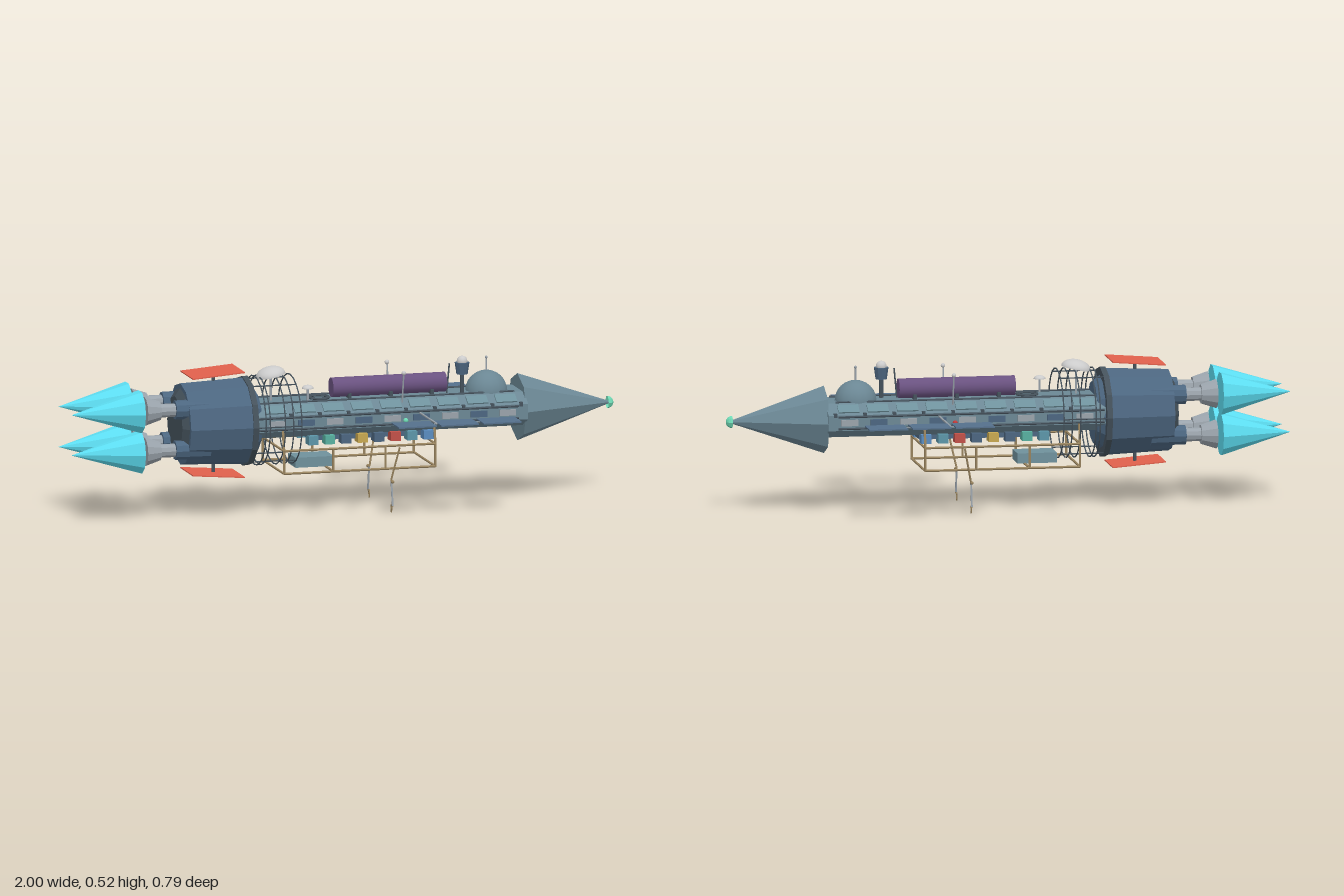
import * as THREE from 'three';

const CY = 0.328; // height of the ship's long axis
const C = {
  hull: 0x6b8794, dark: 0x4c6680, trim: 0x45525c, plume: 0x5cdcf0, red: 0xe0604c, purple: 0x6a5280,
  solar: 0x55708c, gold: 0x9a8560, white: 0xe6e6e6, grey: 0x9aa3ab, green: 0x6fd8b4, box: 0x6f919c,
};
const mats = {};
function mat(color, flat = true) {
  const key = color + '_' + flat;
  return mats[key] ??= new THREE.MeshStandardMaterial({ color, flatShading: flat, side: THREE.DoubleSide });
}

export function createModel() {
  const root = new THREE.Group();

  function add(name, geo, color, x = 0, y = 0, z = 0, flat = true) {
    const m = new THREE.Mesh(geo, mat(color, flat));
    m.name = name;
    m.position.set(x, y, z);
    root.add(m);
    return m;
  }
  const box = (name, color, x, y, z, w, h, d) => add(name, new THREE.BoxGeometry(w, h, d), color, x, y, z);
  // Cylinder lying on x, from x0 (radius r0) to x1 (radius r1)
  function barrel(name, color, x0, x1, r0, r1, y, z, sides = 12) {
    const g = new THREE.CylinderGeometry(r1, r0, x1 - x0, sides).rotateZ(-Math.PI / 2);
    return add(name, g, color, (x0 + x1) / 2, y, z, sides < 16);
  }
  // Thin round bar between two points
  function rod(name, color, a, b, r = 0.003) {
    const p = new THREE.Vector3(...a), q = new THREE.Vector3(...b);
    const m = add(name, new THREE.CylinderGeometry(r, r, p.distanceTo(q), 6), color);
    m.position.copy(p).add(q).multiplyScalar(0.5);
    m.quaternion.setFromUnitVectors(new THREE.Vector3(0, 1, 0), q.sub(p).normalize());
    return m;
  }
  const ball = (name, color, x, y, z, r) => add(name, new THREE.SphereGeometry(r, 16, 12), color, x, y, z, false);

  // Hull: chamfered flat section swept along x
  const s = new THREE.Shape([[-0.07, 0.275], [0.07, 0.275], [0.125, 0.305], [0.125, 0.36], [0.07, 0.395], [-0.07, 0.395],
    [-0.125, 0.36], [-0.125, 0.305]].map(p => new THREE.Vector2(...p)));
  add('hull', new THREE.ExtrudeGeometry(s, { depth: 1, bevelEnabled: false }).rotateY(Math.PI / 2), C.hull, -0.345);

  // Nose cone and tip
  barrel('noseCone', C.hull, 0.65, 0.985, 0.12, 0.004, CY, 0, 8);
  add('noseTip', new THREE.SphereGeometry(0.022, 8, 5, 0, Math.PI * 2, 0, Math.PI / 2).rotateZ(-Math.PI / 2), C.green, 0.978, CY);

  // Side trim, ribs and greebles
  for (const z of [-1, 1]) {
    for (const y of [0.312, 0.354]) rod('sideRail', C.trim, [-0.33, y, z * 0.127], [0.62, y, z * 0.127], 0.004);
    rod('roofRail', C.trim, [-0.33, 0.397, z * 0.065], [0.62, 0.397, z * 0.065], 0.004);
    for (let i = 0; i < 9; i++) {
      const x = -0.26 + i * 0.105;
      box('sidePanel', i % 2 ? C.dark : C.grey, x, 0.333, z * 0.126, 0.06, 0.022, 0.008);
      box('sideStud', C.trim, x + 0.05, 0.36, z * 0.12, 0.012, 0.014, 0.016);
      const slat = box('slopePanel', C.box, x, 0.379, z * 0.099, 0.075, 0.006, 0.04);
      slat.rotation.x = z * 0.567;
    }
    ball('runningLight', z > 0 ? C.green : 0xc03a3a, 0.205, 0.325, z * 0.137, 0.009);
    rod('whipAntenna', C.grey, [0.205, 0.375, z * 0.088], [0.205, 0.49, z * 0.11]);
    ball('whipAntennaTip', C.white, 0.205, 0.49, z * 0.111, 0.008);
  }

  // Engine block with collars
  barrel('engineBlock', C.dark, -0.58, -0.35, 0.145, 0.155, CY, 0, 12);
  barrel('frontCollar', C.trim, -0.355, -0.335, 0.16, 0.16, CY, 0, 12);
  barrel('frontCap', C.dark, -0.335, -0.31, 0.13, 0.11, CY, 0, 12);
  barrel('rearCap', C.trim, -0.6, -0.575, 0.1, 0.135, CY, 0, 12);

  // Four engines
  for (const dy of [-0.072, 0.072]) for (const z of [-0.086, 0.086]) {
    const y = 0.323 + dy;
    barrel('enginePod', C.dark, -0.625, -0.5, 0.034, 0.036, y, z, 10);
    barrel('thrustPipe', C.grey, -0.69, -0.62, 0.024, 0.024, y, z, 10);
    barrel('nozzle', C.grey, -0.735, -0.68, 0.052, 0.034, y, z, 12);
    barrel('plume', C.plume, -1, -0.75, 0.0005, 0.077, y, z, 10);
  }

  // Radiator panels above and below the engine block
  for (const k of [-1, 1]) {
    const panel = box('radiator', C.red, -0.462, CY + k * 0.18, 0, 0.19, 0.004, 0.168);
    panel.rotation.z = k * 0.08;
    rod('radiatorStrut', C.trim, [-0.46, CY + k * 0.14, 0], [-0.46, CY + k * 0.18, 0], 0.006);
  }

  // Rings around the hull
  for (const x of [-0.31, -0.295, -0.24, -0.21, -0.18])
    add('hullRing', new THREE.TorusGeometry(0.158, 0.0025, 5, 24).rotateY(Math.PI / 2), C.trim, x, CY);
  for (let i = 0; i < 6; i++) {
    const a = (i + 0.5) * Math.PI / 3, y = CY + 0.156 * Math.cos(a), z = 0.156 * Math.sin(a);
    rod('ringTie', C.trim, [-0.34, y, z], [-0.18, y, z], 0.0025);
  }

  // Dishes
  function dish(x, y, z, r, tilt) {
    const g = new THREE.SphereGeometry(r, 20, 8, 0, Math.PI * 2, 0, Math.PI / 2).scale(1, 0.6, 1);
    add('dish', g, C.white, x, y, z, false).rotation.z = tilt;
    rod('dishMast', C.grey, [x, 0.39, z], [x, y + r * 0.4, z], 0.004);
  }
  dish(-0.25, 0.485, 0, 0.053, 0.2);
  dish(-0.13, 0.442, 0.055, 0.021, 0);
  add('roofHatch', new THREE.TorusGeometry(0.035, 0.006, 6, 20).rotateX(Math.PI / 2), C.trim, -0.075, 0.398);

  // Roof tank
  barrel('tank', C.purple, -0.03, 0.385, 0.035, 0.035, 0.431, 0, 20);
  for (const x of [0.03, 0.18, 0.33]) box('tankCradle', C.trim, x, 0.402, 0, 0.012, 0.02, 0.07);

  // Sensor turret
  rod('turretMast', C.trim, [0.385, 0.395, 0.025], [0.395, 0.5, 0.025]);
  rod('turretStem', C.trim, [0.44, 0.39, 0.03], [0.44, 0.47, 0.03], 0.008);
  add('turretCup', new THREE.CylinderGeometry(0.026, 0.02, 0.042, 10), C.dark, 0.44, 0.482, 0.03);
  ball('turretDome', C.white, 0.44, 0.507, 0.03, 0.019);

  // Observation dome with antenna
  ball('dome', C.hull, 0.537, 0.39, 0, 0.075);
  rod('domeAntenna', C.grey, [0.537, 0.46, 0], [0.537, 0.51, 0]);
  ball('domeAntennaTip', C.grey, 0.537, 0.511, 0, 0.005);

  // Solar wings
  for (const z of [-1, 1]) {
    rod('solarArm', C.grey, [0.26, 0.348, z * 0.12], [0.26, 0.348, z * 0.345], 0.004);
    rod('solarSpar', C.grey, [0.11, 0.347, z * 0.345], [0.555, 0.347, z * 0.345], 0.002);
    for (const x of [0.178, 0.332, 0.487]) box('solarPanel', C.solar, x, 0.348, z * 0.345, 0.138, 0.005, 0.098);
  }

  // Cargo containers under the hull
  box('cargoSpine', C.dark, 0.1, 0.268, 0, 0.44, 0.024, 0.12);
  const cargo = [0x5c95a8, 0x58b0a0, 0x4c6680, 0xc8a850, 0x4c6680, 0xc25048, 0x5c95a8, 0x5a8cc0];
  cargo.forEach((c, i) => {
    for (const z of [-0.075, 0.075]) box('container', c, -0.12 + i * 0.06, 0.262, z, 0.036, 0.032, 0.045);
  });
  box('belly', C.box, -0.103, 0.177, 0, 0.14, 0.036, 0.1);

  // Gold under-frame
  const [x0, x1, yb, yt, w] = [-0.24, 0.312, 0.157, 0.238, 0.14];
  const bar = (a, b) => rod('frameBar', C.gold, a, b, 0.0045);
  for (const z of [-w, w]) {
    bar([x0, yb, z], [x1, yb, z]);
    bar([x0, yt, z], [x1, yt, z]);
    for (const x of [x0, -0.06, 0.13, x1]) bar([x, yb, z], [x, yt, z]);
    for (const x of [x0, x1]) bar([x, yt, z], [x, 0.31, z * 0.88]);
  }
  for (const x of [x0, x1]) {
    bar([x, yb, -w], [x, yb, w]);
    bar([x, yt, -w], [x, yt, w]);
  }
  bar([-0.06, yb, -w], [-0.06, yb, w]);

  // Manipulator arms
  for (const k of [-1, 1]) {
    const z = v => k * v;
    rod('upperArm', C.gold, [0.175, 0.235, z(0.164)], [0.15, 0.115, z(0.141)], 0.0035);
    ball('armPivot', C.gold, 0.15, 0.113, z(0.162), 0.006);
    rod('armLink', C.gold, [0.15, 0.113, z(0.141)], [0.15, 0.113, z(0.162)], 0.0025);
    rod('lowerArm', C.grey, [0.15, 0.113, z(0.146)], [0.15, 0.027, z(0.162)], 0.0035);
    rod('wrist', C.gold, [0.15, 0.027, z(0.162)], [0.15, 0.028, z(0.146)], 0.003);
    for (const d of [-1, 1]) {
      rod('claw', C.gold, [0.15, 0.028, z(0.146)], [0.15, 0.022, z(0.146) + d * 0.006], 0.002);
      rod('clawTip', C.gold, [0.15, 0.022, z(0.146) + d * 0.006], [0.15, 0.002, z(0.146) + d * 0.002], 0.002);
    }
  }
  return root;
}
